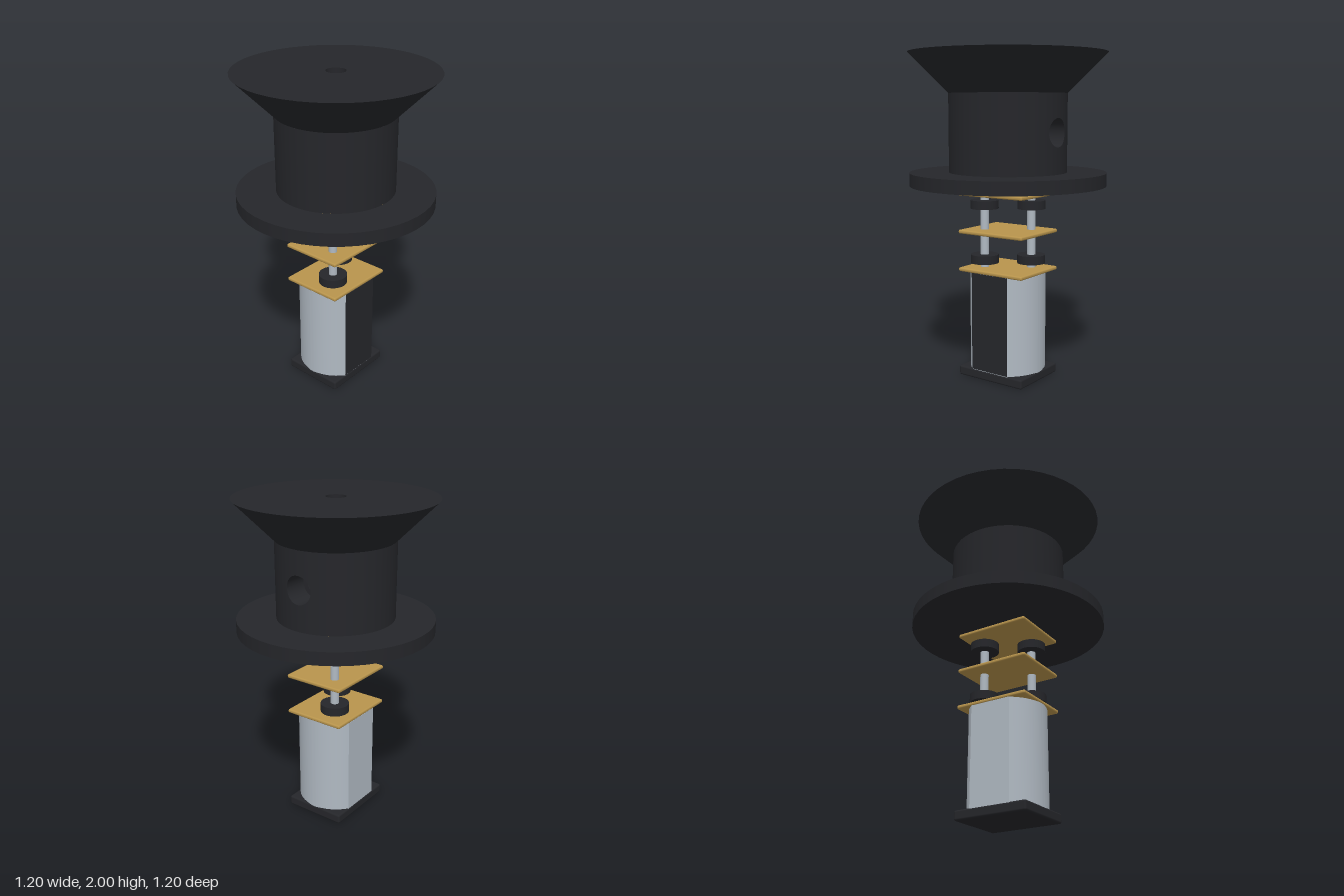
import * as THREE from 'three';
import { mergeGeometries, toCreasedNormals } from 'three/addons/utils/BufferGeometryUtils.js';
import { RoundedBoxGeometry } from 'three/addons/geometries/RoundedBoxGeometry.js';

const mat = (color) => new THREE.MeshStandardMaterial({ color });
const dark = mat(0x25262a), steel = mat(0xb0b9c2), brass = mat(0xb8944c);
const SEG = 48, HOLE_Y = 1.53;

function add(parent, name, geometry, material, x = 0, y = 0, z = 0) {
  const mesh = new THREE.Mesh(geometry, material);
  mesh.name = name;
  mesh.position.set(x, y, z);
  parent.add(mesh);
  return mesh;
}

// One straight band of a turned profile, from [r0, y0] to [r1, y1]
function band(r0, y0, r1, y1, seg = SEG, start = 0, sweep = Math.PI * 2) {
  return new THREE.LatheGeometry([new THREE.Vector2(r0, y0), new THREE.Vector2(r1, y1)], seg, start, sweep);
}

// Square patch of a cylinder wall (radius R, facing +x) around a round hole
function holePatch(R, hole, half, facing) {
  const n = 64, rows = 6, pos = [], nor = [], uv = [], idx = [];
  for (let j = 0; j <= rows; j++) {
    for (let i = 0; i <= n; i++) {
      const t = (i / n) * Math.PI * 2, c = Math.cos(t), s = Math.sin(t);
      const edge = half / Math.max(Math.abs(c), Math.abs(s));
      const d = hole + (edge - hole) * (j / rows);
      const z = -d * c, x = Math.sqrt(Math.max(0, R * R - z * z));
      pos.push(x, HOLE_Y + d * s, z);
      nor.push(facing * x / R, 0, facing * z / R);
      uv.push(i / n, j / rows);
      if (i < n && j < rows) {
        const a = j * (n + 1) + i, b = a + n + 1;
        if (facing > 0) idx.push(a, b, a + 1, b, b + 1, a + 1);
        else idx.push(a, a + 1, b, b, a + 1, b + 1);
      }
    }
  }
  const g = new THREE.BufferGeometry();
  g.setAttribute('position', new THREE.Float32BufferAttribute(pos, 3));
  g.setAttribute('normal', new THREE.Float32BufferAttribute(nor, 3));
  g.setAttribute('uv', new THREE.Float32BufferAttribute(uv, 2));
  g.setIndex(idx);
  return g;
}

// Cylinder wall from yFrom to yTo with a round hole on its +x side
function wallWithHole(R, yFrom, yTo, hole, half) {
  const a = Math.asin(half / R), facing = Math.sign(yTo - yFrom);
  const start = Math.PI / 2 - a, low = HOLE_Y - facing * half, high = HOLE_Y + facing * half;
  return [
    band(R, yFrom, R, yTo, SEG, Math.PI / 2 + a, Math.PI * 2 - 2 * a),
    band(R, yFrom, R, low, 12, start, 2 * a),
    band(R, high, R, yTo, 12, start, 2 * a),
    holePatch(R, hole, half, facing),
  ];
}

// Upright prism from a flat outline, rounded sides smooth
function prism(shape, height) {
  const g = new THREE.ExtrudeGeometry(shape, { depth: height, bevelEnabled: false, curveSegments: 32 });
  return toCreasedNormals(g.rotateX(-Math.PI / 2), 0.4);
}

export function createModel() {
  const model = new THREE.Group();
  model.name = 'motorWithSpool';

  // Spool: lower flange, hub, flared top, central bore
  const spool = new THREE.Group();
  spool.name = 'spool';
  model.add(spool);
  add(spool, 'spoolBody', mergeGeometries([
    band(0.06, 1.205, 0.6, 1.205),
    band(0.6, 1.205, 0.6, 1.285),
    band(0.6, 1.285, 0.36, 1.285),
    ...wallWithHole(0.36, 1.285, 1.76, 0.085, 0.12),
    band(0.36, 1.76, 0.6, 2),
    band(0.6, 2, 0.06, 2),
    ...wallWithHole(0.06, 2, 1.205, 0.055, 0.0585),
  ]), dark);

  // Stepped set-screw hole, running from the hub wall to the bore
  const holeMat = dark.clone();
  holeMat.side = THREE.DoubleSide;
  const rim = new THREE.CylinderGeometry(0.085, 0.085, 0.16, 64, 1, true);
  const p = rim.attributes.position;
  for (let i = 0; i < p.count; i++) {
    // Outer end follows the curve of the hub
    const outer = Math.sqrt(0.36 ** 2 - p.getZ(i) ** 2);
    const x = p.getY(i) > 0 ? outer : 0.2;
    p.setXYZ(i, x, p.getX(i), p.getZ(i));
  }
  rim.computeVertexNormals();
  add(spool, 'screwHoleRecess', rim, holeMat, 0, HOLE_Y, 0);
  add(spool, 'screwHoleLedge', new THREE.RingGeometry(0.055, 0.085, 48).rotateY(Math.PI / 2), holeMat, 0.2, HOLE_Y, 0);
  add(spool, 'screwHole', new THREE.CylinderGeometry(0.055, 0.055, 0.16, 48, 1, true).rotateZ(Math.PI / 2),
    holeMat, 0.12, HOLE_Y, 0);

  // Output shaft with a flat on its back
  const flat = Math.asin(0.04 / 0.059);
  const dShape = new THREE.Shape();
  dShape.absarc(0, 0, 0.059, Math.PI - flat, Math.PI * 2 + flat, false);
  dShape.closePath();
  add(model, 'outputShaft', prism(dShape, 0.375), steel, 0, 1.155, 0);

  // Gearbox plates
  for (const y of [0.68, 0.917, 1.153]) {
    add(model, 'gearboxPlate', new RoundedBoxGeometry(0.474, 0.024, 0.396, 3, 0.01), brass, 0, y, 0);
  }

  // Two diagonal posts, each carrying two gears
  for (const s of [1, -1]) {
    const x = 0.12 * s, z = -0.08 * s;
    add(model, 'gearPost', new THREE.CylinderGeometry(0.026, 0.026, 0.47, 32), steel, x, 0.915, z);
    for (const y of [0.745, 1.085]) {
      add(model, 'gear', new THREE.CylinderGeometry(0.087, 0.087, 0.053, 40), dark, x, y, z);
    }
  }

  // Motor can: round sides, flat front and back
  const R = 0.235, a = Math.asin(0.195 / R);
  const can = new THREE.Shape();
  can.absarc(0, 0, R, -a, a, false);
  can.absarc(0, 0, R, Math.PI - a, Math.PI + a, false);
  can.closePath();
  add(model, 'motorCan', prism(can, 0.615), steel, 0, 0.055, 0);
  add(model, 'frontPanel', new THREE.BoxGeometry(0.264, 0.61, 0.006), dark, 0, 0.365, 0.195);

  // End cap
  add(model, 'endCap', new RoundedBoxGeometry(0.474, 0.06, 0.396, 3, 0.012), dark, 0, 0.03, 0);
  return model;
}
